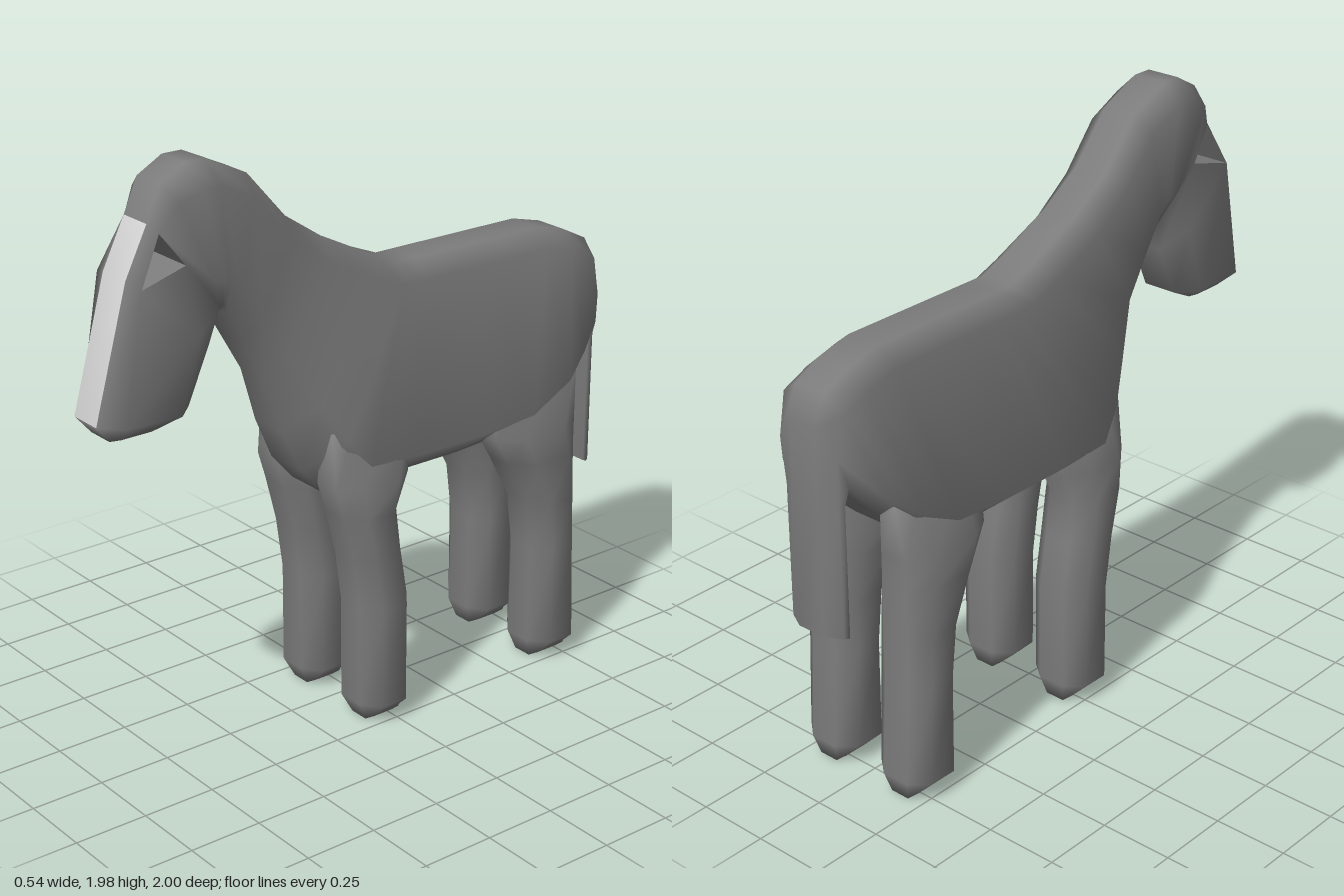
import * as THREE from 'three';

const coat = new THREE.MeshStandardMaterial({ color: 0x7c7c7c });
coat.name = 'greyCoat';
const pale = new THREE.MeshStandardMaterial({ color: 0xd6d6d6 });
pale.name = 'paleBlaze';

// Eight-sided ring between a top point and a bottom point of the side outline.
// Section: [topZ, topY, botZ, botY, topW, upperW, lowerW, botW, upperT, lowerT]
function ring([tz, ty, bz, by, tw, uw, lw, bw, ut, lt]) {
  const half = [[tw, 0], [uw, ut], [lw, lt], [bw, 1]];
  const all = [...half, ...half.slice().reverse().map(([w, t]) => [-w, t])];
  return all.map(([x, t]) => new THREE.Vector3(x, ty + (by - ty) * t, tz + (bz - tz) * t));
}

// Joins rings into a closed smooth skin; eye is the span that holds the eye openings,
// blaze the range of spans whose front strip takes the second material.
function loft(rings, eye = -1, blaze = [0, 0]) {
  const main = [], strip = [], n = 8, last = (rings.length - 1) * n;
  for (let i = 0; i < rings.length - 1; i++) {
    for (let j = 0; j < n; j++) {
      const k = (j + 1) % n;
      const a = i * n + j, b = i * n + k, c = b + n, d = a + n;
      if (i === eye && j === 1) main.push(a, b, c);
      else if (i === eye && j === 5) main.push(a, b, d);
      else (j === 7 && i >= blaze[0] && i < blaze[1] ? strip : main).push(a, b, c, a, c, d);
    }
  }
  for (let j = 1; j < n - 1; j++) {
    main.push(0, j + 1, j, last, last + j, last + j + 1);
  }
  const geo = new THREE.BufferGeometry().setFromPoints(rings.flat());
  geo.setIndex([...main, ...strip]);
  geo.addGroup(0, main.length, 0);
  if (strip.length) geo.addGroup(main.length, strip.length, 1);
  geo.computeVertexNormals();
  return geo;
}

function addMesh(parent, name, geo, mat) {
  const mesh = new THREE.Mesh(geo, mat);
  mesh.name = name;
  parent.add(mesh);
  return mesh;
}

// Triangular passage between the two eye openings
function socketGeometry(corners) {
  const pts = [];
  corners.forEach((p, i) => {
    const q = corners[(i + 1) % 3];
    const pm = p.clone().setX(-p.x), qm = q.clone().setX(-q.x);
    pts.push(p, q, qm, p, qm, pm);
  });
  const geo = new THREE.BufferGeometry().setFromPoints(pts);
  geo.computeVertexNormals();
  return geo;
}

// Leg from foot to shoulder: [y, frontZ, backZ, flat half width, half width]
function legGeometry(levels) {
  return loft(levels.map(([y, f, b, t, w]) => ring([f, y, b, y, t, w, w, t, 0.25, 0.75])));
}

export function createModel() {
  const horse = new THREE.Group();
  horse.name = 'horse';

  // Head and neck
  const head = [
    [0.95, 1.17, 0.77, 1.17, 0.05, 0.06, 0.06, 0.05, 0.2, 0.8],
    [1.00, 1.23, 0.67, 1.22, 0.06, 0.125, 0.125, 0.06, 0.2, 0.8],
    [0.88, 1.66, 0.59, 1.40, 0.06, 0.12, 0.125, 0.06, 0.06, 0.75],
    [0.80, 1.82, 0.56, 1.50, 0.06, 0.095, 0.11, 0.07, 0.08, 0.42],
    [0.75, 1.93, 0.553, 1.515, 0.06, 0.125, 0.12, 0.08, 0.12, 0.75],
    [0.66, 1.98, 0.55, 1.52, 0.06, 0.13, 0.125, 0.08, 0.15, 0.8],
    [0.59, 1.98, 0.545, 1.515, 0.06, 0.13, 0.125, 0.08, 0.15, 0.8],
    [0.44, 1.91, 0.53, 1.49, 0.06, 0.125, 0.125, 0.07, 0.14, 0.8],
    [0.30, 1.75, 0.47, 1.38, 0.06, 0.125, 0.125, 0.06, 0.14, 0.8],
    [0.15, 1.65, 0.39, 1.24, 0.06, 0.125, 0.135, 0.06, 0.14, 0.8],
  ];
  // Chest, barrel, rump and tail
  const trunk = [
    [-0.05, 1.55, 0.33, 1.05, 0.06, 0.13, 0.18, 0.07, 0.1, 0.8],
    [-0.15, 1.51, 0.26, 0.90, 0.06, 0.13, 0.22, 0.08, 0.08, 0.8],
    [-0.22, 1.51, 0.17, 0.80, 0.06, 0.13, 0.24, 0.09, 0.08, 0.82],
    [-0.30, 1.51, -0.07, 0.82, 0.06, 0.13, 0.24, 0.12, 0.08, 0.86],
    [-0.50, 1.51, -0.35, 0.82, 0.06, 0.13, 0.24, 0.12, 0.08, 0.86],
    [-0.74, 1.51, -0.56, 0.82, 0.06, 0.13, 0.24, 0.10, 0.08, 0.84],
    [-0.86, 1.48, -0.72, 0.90, 0.06, 0.13, 0.24, 0.10, 0.1, 0.8],
    [-0.96, 1.43, -0.82, 1.00, 0.06, 0.13, 0.20, 0.12, 0.12, 0.8],
    [-1.00, 1.33, -0.94, 1.11, 0.05, 0.12, 0.14, 0.12, 0.4, 0.8],
    [-1.00, 1.10, -0.947, 1.08, 0.05, 0.11, 0.12, 0.11, 0.6, 0.9],
    [-1.00, 0.63, -0.947, 0.63, 0.05, 0.11, 0.12, 0.11, 0.6, 0.9],
  ];
  const rings = [...head, ...trunk].map(ring);
  addMesh(horse, 'bodyHeadAndTail', loft(rings, 2, [1, 3]), [coat, pale]);
  addMesh(horse, 'eyeSockets', socketGeometry([rings[2][1], rings[3][2], rings[3][1]]), coat);

  // Legs
  const foreleg = legGeometry([
    [0, 0.09, -0.05, 0.035, 0.04], [0.07, 0.125, -0.07, 0.05, 0.11],
    [0.42, 0.125, -0.07, 0.05, 0.11], [0.60, 0.15, -0.04, 0.05, 0.11],
    [0.76, 0.19, -0.02, 0.05, 0.11], [0.86, 0.22, -0.07, 0.05, 0.10],
    [1.05, 0.22, -0.08, 0.03, 0.04],
  ]);
  const hindleg = legGeometry([
    [0, -0.64, -0.80, 0.035, 0.04], [0.07, -0.615, -0.82, 0.05, 0.11],
    [0.42, -0.62, -0.80, 0.05, 0.11], [0.60, -0.595, -0.80, 0.05, 0.11],
    [0.76, -0.51, -0.80, 0.05, 0.11], [0.86, -0.45, -0.80, 0.05, 0.10],
    [1.05, -0.45, -0.82, 0.03, 0.04],
  ]);
  for (const [side, x] of [['left', 0.16], ['right', -0.16]]) {
    addMesh(horse, side + 'Foreleg', foreleg, coat).position.x = x;
    addMesh(horse, side + 'Hindleg', hindleg, coat).position.x = x;
  }
  return horse;
}
